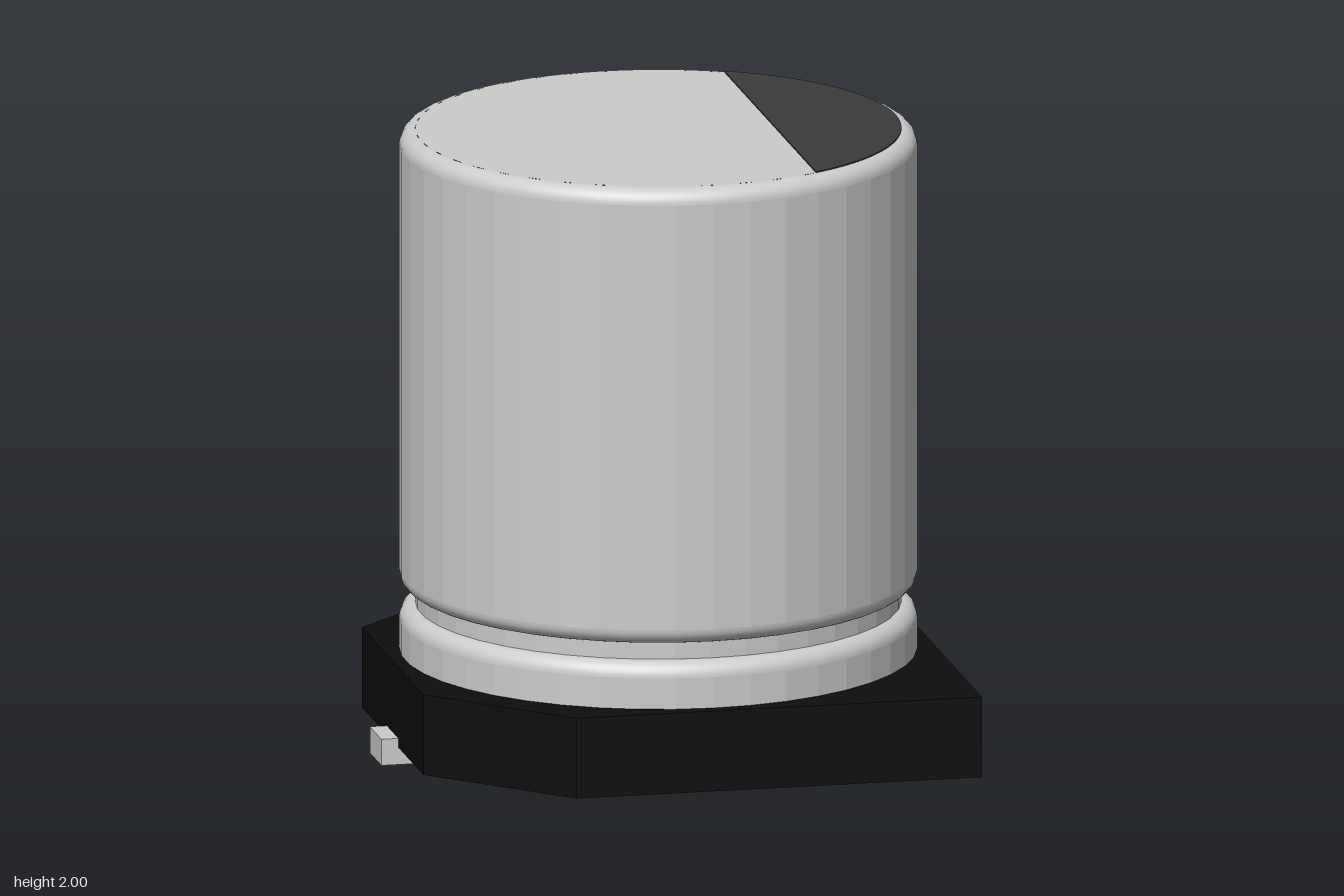
import * as THREE from 'three';

const SIDES = 42;
const R = 0.815;       // can radius
const FILLET = 0.05;   // rounded edge radius
const INNER = R - FILLET;

// Quarter-round profile around (INNER, y), from angle a to angle b
function arc(y, a, b, steps = 8) {
  return Array.from({ length: steps + 1 }, (_, i) => {
    const t = a + (b - a) * i / steps;
    return new THREE.Vector2(INNER + FILLET * Math.cos(t), y + FILLET * Math.sin(t));
  });
}

export function createModel() {
  const model = new THREE.Group();
  const metal = new THREE.MeshStandardMaterial({ color: 0xcccccc });
  const black = new THREE.MeshStandardMaterial({ color: 0x0d0d0d });
  const darkGrey = new THREE.MeshStandardMaterial({ color: 0x3b3b3b });
  metal.name = 'aluminium';
  black.name = 'basePlastic';
  darkGrey.name = 'markInk';

  const add = (name, geometry, material) => {
    const mesh = new THREE.Mesh(geometry, material);
    mesh.name = name;
    model.add(mesh);
    return mesh;
  };

  // Straight walls are faceted, rounded edges are smooth
  const wall = (name, radius, y0, y1) => {
    const g = new THREE.CylinderGeometry(radius, radius, y1 - y0, SIDES, 1, true).toNonIndexed();
    g.computeVertexNormals();
    g.translate(0, (y0 + y1) / 2, 0);
    add(name, g, metal);
  };
  const round = (name, y, a, b) => add(name, new THREE.LatheGeometry(arc(y, a, b), SIDES), metal);
  const disc = (name, y, up) => {
    const g = new THREE.CircleGeometry(INNER, SIDES);
    g.rotateX(up ? -Math.PI / 2 : Math.PI / 2);
    add(name, g, metal).position.y = y;
  };

  // Can: lower ring, crimp groove, main body and lid
  wall('lowerRing', R, 0.3, 0.415);
  round('lowerRingEdge', 0.415, 0, Math.PI / 2);
  wall('crimpGroove', INNER, 0.465, 0.52);
  round('bodyBottomEdge', 0.57, -Math.PI / 2, 0);
  wall('body', R, 0.57, 1.946);
  round('bodyTopEdge', 1.946, 0, Math.PI / 2);
  disc('lid', 1.996, true);

  // Polarity mark: thin circular segment on the lid
  const half = Math.acos(0.36 / INNER);
  const segment = new THREE.Shape();
  segment.absarc(0, 0, INNER, -half, half, false);
  segment.closePath();
  const mark = new THREE.ExtrudeGeometry(segment, { depth: 0.004, bevelEnabled: false, curveSegments: 24 });
  mark.rotateX(-Math.PI / 2);
  add('polarityMark', mark, darkGrey).position.y = 1.996;

  // Base plate with two cut corners on the -x side
  const w = 0.855, c = 0.45;
  const outline = new THREE.Shape([
    [w, -w], [w, w], [-c, w], [-w, c], [-w, -c], [-c, -w],
  ].map(([x, y]) => new THREE.Vector2(x, y)));
  const base = new THREE.ExtrudeGeometry(outline, { depth: 0.26, bevelEnabled: false });
  base.rotateX(-Math.PI / 2);
  add('base', base, black).position.y = 0.055;

  // Solder leads
  for (const [name, side] of [['leftLead', 1], ['rightLead', -1]]) {
    add(name, new THREE.BoxGeometry(0.67, 0.085, 0.17), metal).position.set(side * 0.575, 0.0425, 0);
  }
  return model;
}
